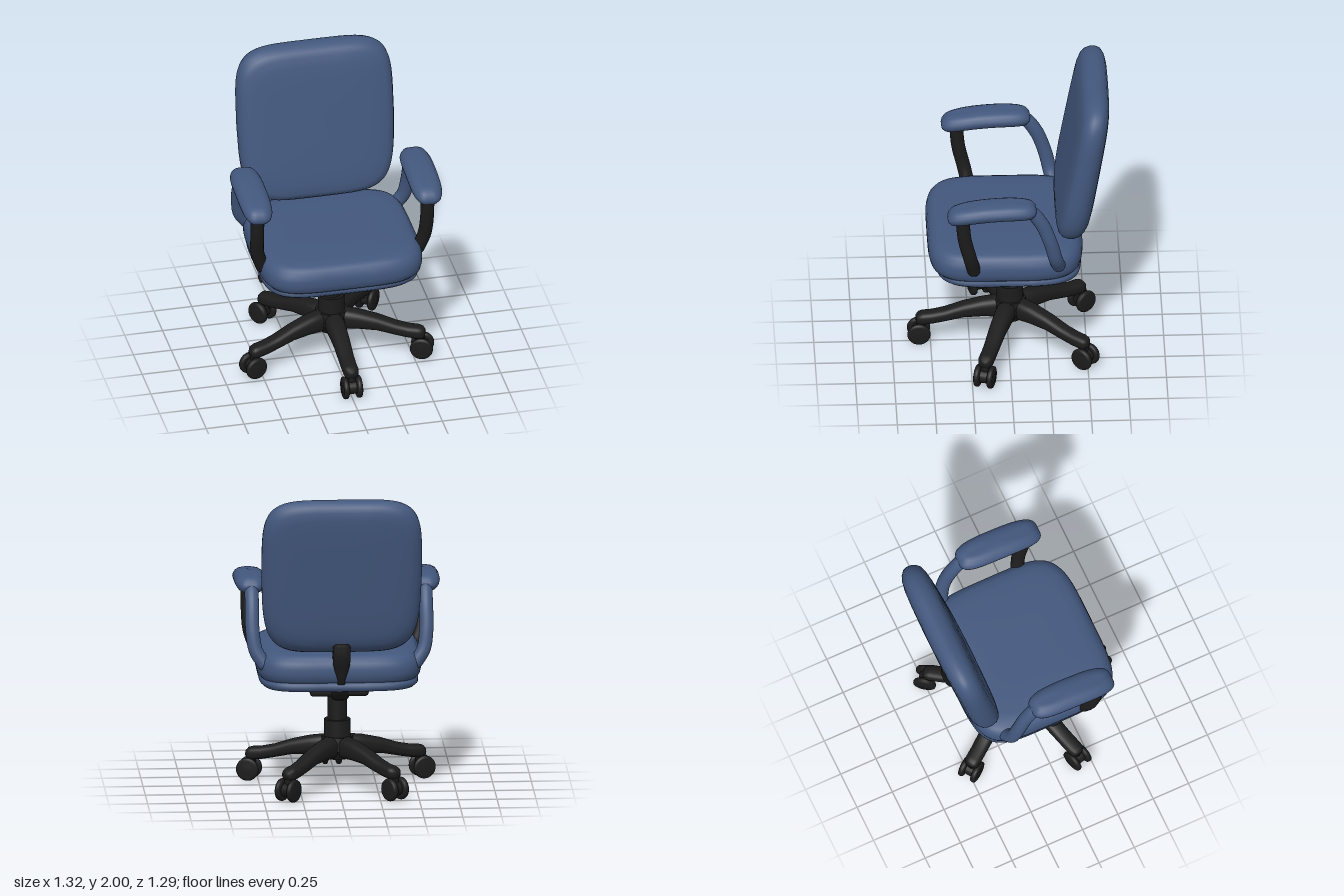
import * as THREE from 'three';
import { RoundedBoxGeometry } from 'three/addons/geometries/RoundedBoxGeometry.js';

const fabric = new THREE.MeshStandardMaterial({ color: 0x43587e });
fabric.name = 'blue fabric';
const plastic = new THREE.MeshStandardMaterial({ color: 0x1c1c1c });
plastic.name = 'black plastic';

function add(parent, name, geometry, material, x = 0, y = 0, z = 0) {
  const mesh = new THREE.Mesh(geometry, material);
  mesh.name = name;
  mesh.position.set(x, y, z);
  parent.add(mesh);
  return mesh;
}

// Closed skin over superellipse sections [z, halfWidth, halfHeight, centreY] stacked along +z
function loft(sections, power, count) {
  const pos = [], index = [];
  const bend = (v) => Math.sign(v) * Math.abs(v) ** (2 / power);
  for (const [z, w, h, cy = 0] of sections) {
    for (let j = 0; j < count; j++) {
      const t = (j / count) * Math.PI * 2;
      pos.push(w * bend(Math.cos(t)), cy + h * bend(Math.sin(t)), z);
    }
  }
  const last = sections.length - 1;
  for (const k of [0, last]) pos.push(0, sections[k][3] || 0, sections[k][0]);
  const c0 = (last + 1) * count;
  for (let j = 0; j < count; j++) {
    const n = (j + 1) % count;
    for (let i = 0; i < last; i++) {
      const a = i * count + j, b = i * count + n;
      index.push(a, b, a + count, b, b + count, a + count);
    }
    index.push(c0, n, j, c0 + 1, last * count + j, last * count + n);
  }
  const g = new THREE.BufferGeometry();
  g.setAttribute('position', new THREE.Float32BufferAttribute(pos, 3));
  g.setIndex(index);
  g.computeVertexNormals();
  return g;
}

// Cushion with an edge profile of [inset, height] pairs
function cushion(w, h, power, profile) {
  return loft(profile.map(([inset, z]) => [z, w - inset, h - inset]), power, 96);
}

// Move every vertex by a rule
function deform(g, rule) {
  const p = g.attributes.position, v = new THREE.Vector3();
  for (let i = 0; i < p.count; i++) {
    rule(v.fromBufferAttribute(p, i));
    p.setXYZ(i, v.x, v.y, v.z);
  }
  g.computeVertexNormals();
  return g;
}

// Bent bar with round ends
function bar(parent, name, points, radius, material) {
  const pts = points.map((p) => new THREE.Vector3(...p));
  const group = new THREE.Group();
  group.name = name;
  parent.add(group);
  add(group, name + 'Tube', new THREE.TubeGeometry(new THREE.CatmullRomCurve3(pts), 32, radius, 20), material);
  for (const p of [pts[0], pts[pts.length - 1]]) {
    add(group, name + 'End', new THREE.SphereGeometry(radius, 20, 14), material, p.x, p.y, p.z);
  }
}

function cylinder(parent, name, top, bottom, y0, y1) {
  return add(parent, name, new THREE.CylinderGeometry(top, bottom, y1 - y0, 40), plastic, 0, (y0 + y1) / 2, 0);
}

function addArm(root, side) {
  const arm = new THREE.Group();
  arm.name = side > 0 ? 'leftArm' : 'rightArm';
  root.add(arm);
  // Padded rest, drooping slightly to the front
  const pad = cushion(0.102, 0.287, 3.6, [
    [0.07, -0.053], [0.04, -0.05], [0.018, -0.038], [0.004, -0.018], [0, 0],
    [0.004, 0.018], [0.018, 0.038], [0.04, 0.05], [0.07, 0.055],
  ]).rotateX(-Math.PI / 2).translate(0, 0, 0.125);
  deform(pad, (v) => { v.y += 1.345 - 0.3 * v.z * v.z; });
  add(arm, 'armPad', pad, fabric, side * 0.56);
  bar(arm, 'rearArmSupport', [
    [side * 0.56, 1.338, -0.06], [side * 0.56, 1.32, -0.125], [side * 0.56, 1.23, -0.195],
    [side * 0.56, 1.08, -0.253], [side * 0.54, 0.95, -0.285], [side * 0.49, 0.87, -0.305],
  ], 0.045, fabric);
  bar(arm, 'frontArmPost', [
    [side * 0.56, 1.28, 0.315], [side * 0.56, 1.12, 0.3],
    [side * 0.55, 0.97, 0.265], [side * 0.515, 0.86, 0.24],
  ], 0.044, plastic);
}

function addLeg(base, angle) {
  const leg = new THREE.Group();
  leg.name = 'leg';
  leg.rotation.y = angle;
  base.add(leg);
  // Tapering spoke
  add(leg, 'spoke', loft([
    [0, 0.06, 0.06, 0.255], [0.1, 0.062, 0.07, 0.257], [0.18, 0.06, 0.062, 0.253],
    [0.3, 0.055, 0.05, 0.235], [0.42, 0.051, 0.043, 0.2], [0.5, 0.05, 0.042, 0.183],
    [0.56, 0.05, 0.043, 0.177], [0.59, 0.043, 0.037, 0.174], [0.605, 0.024, 0.022, 0.172],
  ], 2.6, 28), plastic);
  // Twin-wheel caster
  const caster = new THREE.Group();
  caster.name = 'caster';
  caster.position.set(0, 0.074, 0.586);
  leg.add(caster);
  add(caster, 'casterStem', new THREE.CylinderGeometry(0.03, 0.03, 0.1, 20), plastic, 0, 0.06, -0.015);
  add(caster, 'casterAxle', new THREE.CylinderGeometry(0.045, 0.045, 0.07, 20).rotateZ(Math.PI / 2), plastic);
  const rim = [[0, -0.019], [0.058, -0.019], [0.07, -0.014], [0.074, -0.005], [0.074, 0.005],
    [0.07, 0.014], [0.058, 0.019], [0.035, 0.017], [0.03, 0.021], [0, 0.021]];
  for (const s of [-1, 1]) {
    const wheel = new THREE.LatheGeometry(rim.map(([r, y]) => new THREE.Vector2(r, y)), 32);
    add(caster, 'wheel', wheel.rotateZ(-s * Math.PI / 2), plastic, s * 0.044);
  }
}

export function createModel() {
  const root = new THREE.Group();
  root.name = 'officeChair';

  // Seat cushion and its lower layer
  add(root, 'seatCushion', cushion(0.533, 0.498, 4.5, [
    [0.06, 0.757], [0.025, 0.764], [0.008, 0.785], [0, 0.82], [0, 0.86], [0.008, 0.895],
    [0.028, 0.925], [0.06, 0.942], [0.12, 0.95], [0.3, 0.954],
  ]).rotateX(-Math.PI / 2), fabric, 0, 0, 0.027);
  add(root, 'seatBase', cushion(0.512, 0.472, 4.5, [
    [0.3, 0.7], [0.06, 0.702], [0.02, 0.709], [0, 0.728], [0, 0.755], [0.02, 0.775],
  ]).rotateX(-Math.PI / 2), fabric, 0, 0, 0.01);

  // Backrest: leaning back, thicker and narrower to the bottom, slightly bowed across its width
  const back = cushion(0.516, 0.519, 5, [
    [0.42, -0.108], [0.3, -0.108], [0.2, -0.106], [0.12, -0.102], [0.07, -0.092], [0.035, -0.075],
    [0.01, -0.048], [0, -0.015], [0, 0.02], [0.01, 0.055], [0.03, 0.08], [0.06, 0.094],
    [0.12, 0.103], [0.2, 0.106], [0.3, 0.108], [0.42, 0.108],
  ]);
  deform(back, (v) => {
    v.z *= (1 - 0.1 * v.y) * (1 - 0.4 * v.x * v.x);
    v.z -= 0.174 * v.y;
    v.x *= 1 - 0.06 * Math.max(0, -v.y / 0.5) ** 1.5;
  });
  add(root, 'backrest', back, fabric, 0, 1.481, -0.476);

  // Curved bracket carrying the backrest, pinched where it rounds the seat edge
  const toPoints = (list) => list.map(([x, y]) => new THREE.Vector2(x, y));
  const profile = new THREE.Shape();
  profile.moveTo(0.23, 0.632);
  profile.splineThru(toPoints([[0.3, 0.64], [0.38, 0.675], [0.44, 0.76], [0.475, 0.86], [0.503, 0.95], [0.505, 1.02]]));
  profile.lineTo(0.38, 0.985);
  profile.splineThru(toPoints([[0.42, 0.92], [0.41, 0.82], [0.36, 0.72], [0.23, 0.7]]));
  const bracket = new THREE.ExtrudeGeometry(profile, {
    depth: 0.04, bevelEnabled: true, bevelSize: 0.02, bevelThickness: 0.035, bevelSegments: 4, curveSegments: 24,
  }).translate(0, 0, -0.02).rotateY(Math.PI / 2);
  deform(bracket, (v) => { v.x *= 0.45 + 0.55 * Math.min(1, Math.abs(v.y - 0.78) / 0.12); });
  add(root, 'backBracket', bracket, plastic);

  // Tilt mechanism and height lever
  add(root, 'tiltBox', new RoundedBoxGeometry(0.38, 0.08, 0.43, 4, 0.025), plastic, 0, 0.672, -0.045);
  add(root, 'mountPlate', new RoundedBoxGeometry(0.2, 0.04, 0.2, 3, 0.012), plastic, 0, 0.63, -0.01);
  add(root, 'leverRod', new THREE.CylinderGeometry(0.014, 0.014, 0.25, 16).rotateZ(Math.PI / 2), plastic, -0.27, 0.648, 0.05);
  add(root, 'leverPaddle', new RoundedBoxGeometry(0.125, 0.036, 0.07, 4, 0.014), plastic, -0.43, 0.645, 0.05);

  for (const side of [-1, 1]) addArm(root, side);

  // Gas column, hub and five legs
  const base = new THREE.Group();
  base.name = 'base';
  base.position.z = -0.011;
  root.add(base);
  cylinder(base, 'column', 0.062, 0.062, 0.4, 0.63);
  cylinder(base, 'columnSleeve', 0.085, 0.087, 0.3, 0.435);
  cylinder(base, 'hub', 0.1, 0.115, 0.24, 0.325);
  cylinder(base, 'hubUnderside', 0.115, 0.085, 0.18, 0.24);
  for (let i = 0; i < 5; i++) addLeg(base, (i * Math.PI * 2) / 5);

  return root;
}
